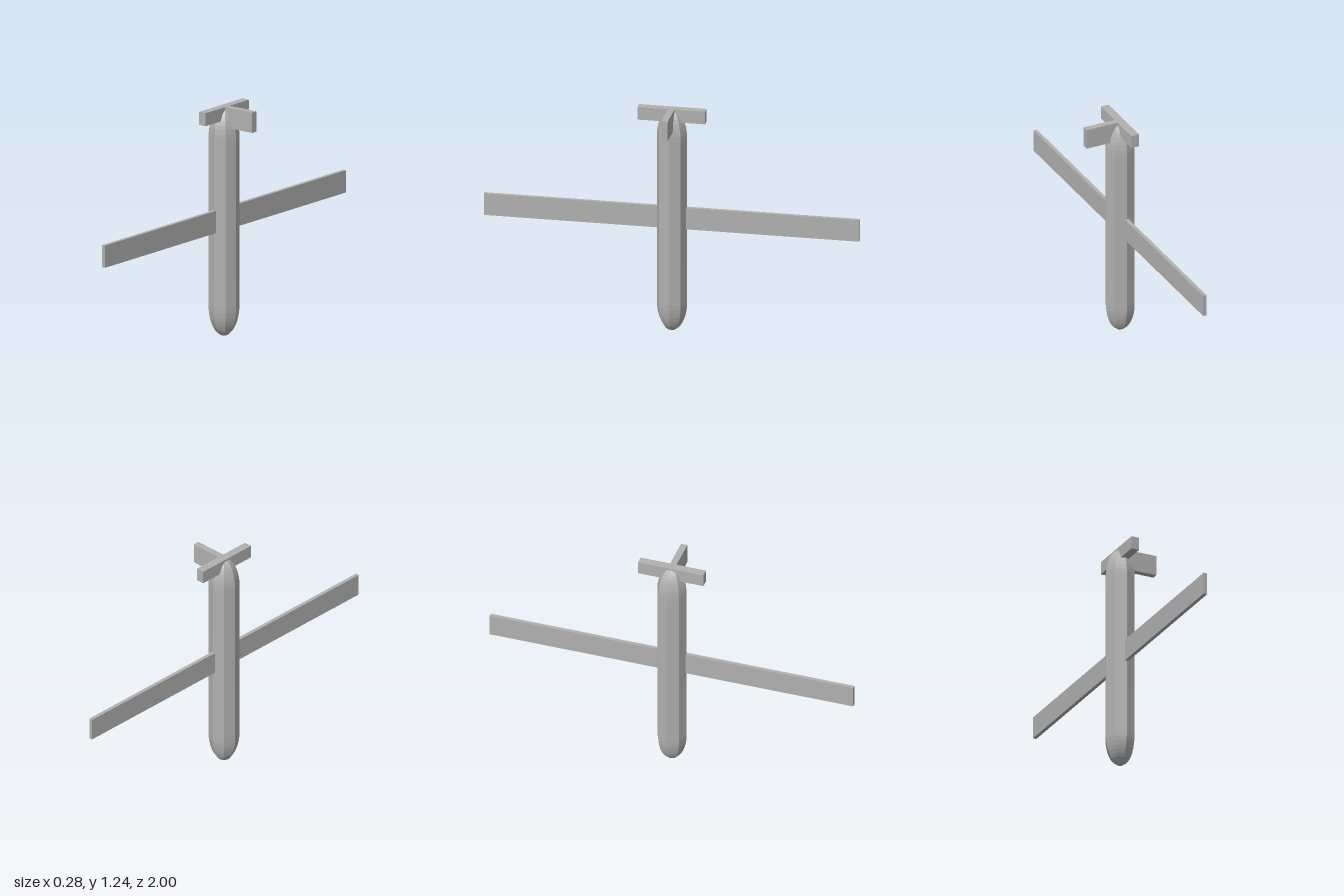
import * as THREE from 'three';

export function createModel() {
  const model = new THREE.Group();
  const grey = new THREE.MeshStandardMaterial({ color: 0xb0b0b0, flatShading: true });
  grey.name = 'grey';
  const axisX = -0.0625; // body axis, offset because the fin sticks out to one side

  const add = (name, geometry, x, y, z) => {
    const mesh = new THREE.Mesh(geometry, grey);
    mesh.name = name;
    mesh.position.set(x, y, z);
    model.add(mesh);
  };

  // Eight-sided upright body with stretched rounded ends
  const radius = 0.081, length = 1.237;
  const body = new THREE.CapsuleGeometry(radius, length / 2 - 2 * radius, 10, 8);
  body.scale(1, 2, 1);
  add('fuselage', body, axisX, length / 2, 0);

  // Wings and tailplanes, mirrored front to back
  for (const [side, s] of [['front', 1], ['back', -1]]) {
    add(side + 'Wing', new THREE.BoxGeometry(0.02, 0.12, 1), axisX, 0.63, s * 0.5);
    add(side + 'Tailplane', new THREE.BoxGeometry(0.045, 0.07, 0.18), axisX, 1.205, s * 0.09);
  }

  // Tail fin
  add('tailFin', new THREE.BoxGeometry(0.203, 0.11, 0.035), axisX + 0.1015, 1.185, 0);

  return model;
}
